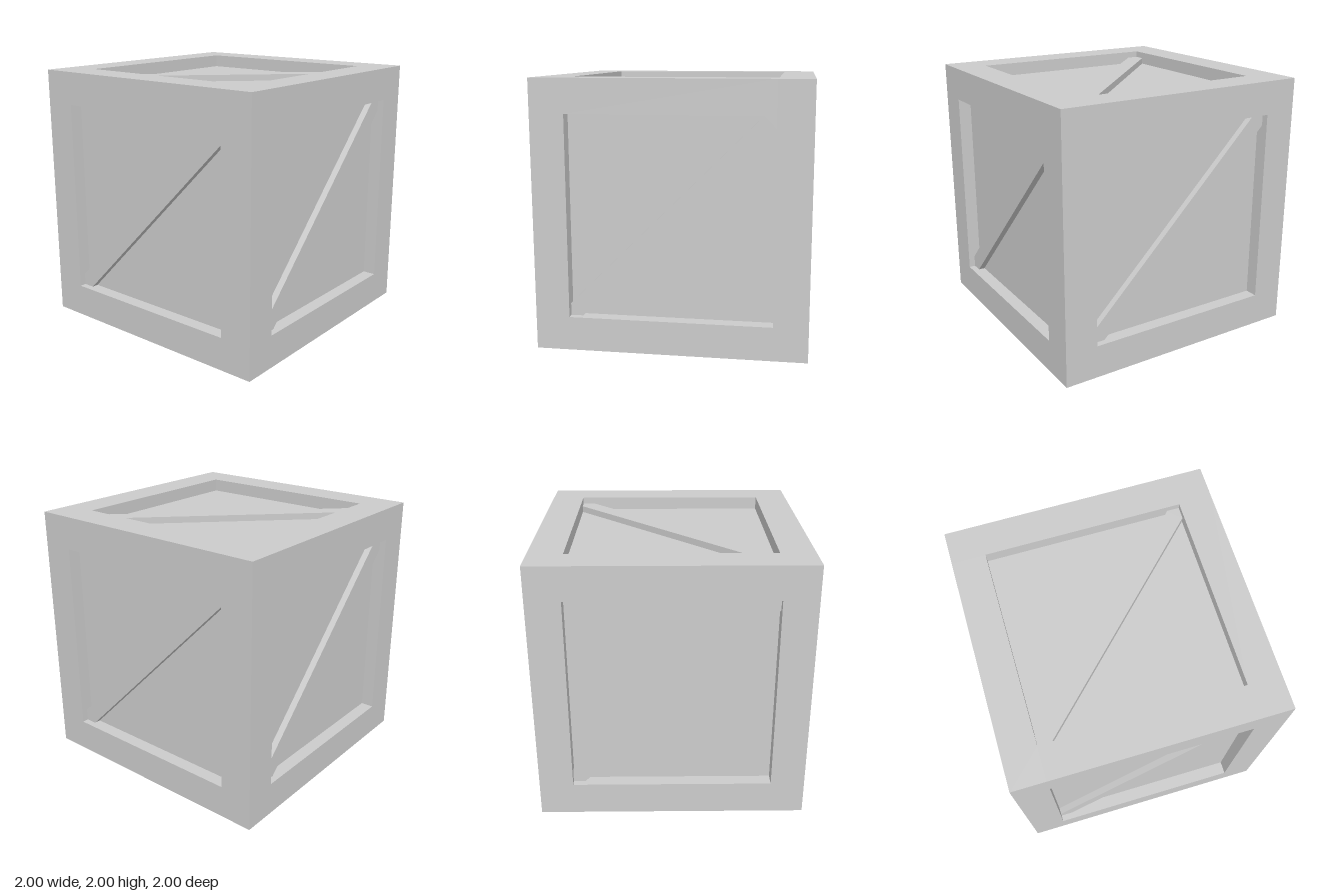
import * as THREE from 'three';

const HALF = 1;        // half the crate's side
const OPEN = 0.747;    // half the side of each opening
const PANEL = 0.9;     // distance of the panels from the centre
const BRACE = 0.95;    // distance of the brace faces from the centre
const CUT = 0.091;     // brace half-width measured along the opening's edge

export function createModel() {
  const model = new THREE.Group();
  const material = new THREE.MeshStandardMaterial({ color: 0xcccccc });
  const add = (name, geometry, parent = model) => {
    const mesh = new THREE.Mesh(geometry, material);
    mesh.name = name;
    parent.add(mesh);
    return mesh;
  };

  // Frame: full-height posts with rails fitted between them
  const beam = HALF - OPEN;
  const mid = (HALF + OPEN) / 2;
  const post = new THREE.BoxGeometry(beam, 2 * HALF, beam);
  const railX = new THREE.BoxGeometry(2 * OPEN, beam, beam);
  const railZ = new THREE.BoxGeometry(beam, beam, 2 * OPEN);
  for (const a of [-mid, mid]) {
    for (const b of [-mid, mid]) {
      add('cornerPost', post).position.set(a, HALF, b);
      add('crossRail', railX).position.set(0, HALF + a, b);
      add('sideRail', railZ).position.set(a, HALF + b, 0);
    }
  }

  // Recessed panels: one inner box shows through all six openings
  add('innerPanels', new THREE.BoxGeometry(2 * PANEL, 2 * PANEL, 2 * PANEL)).position.y = HALF;

  // Diagonal brace, its ends trimmed to the corners of the opening
  const o = OPEN, c = OPEN - CUT;
  const outline = new THREE.Shape(
    [[-o, -o], [-c, -o], [o, c], [o, o], [c, o], [-o, -c]].map(([x, y]) => new THREE.Vector2(x, y))
  );
  const brace = new THREE.ExtrudeGeometry(outline, { depth: BRACE - PANEL, bevelEnabled: false });
  brace.translate(0, 0, PANEL);

  // The front brace turned onto every face
  const q = Math.PI / 2;
  const faces = {
    front: [0, 0], right: [0, q], back: [0, 2 * q], left: [0, -q], top: [-q, 0], bottom: [q, 0],
  };
  for (const [face, [rx, ry]] of Object.entries(faces)) {
    const mesh = add(`${face}Brace`, brace);
    mesh.position.y = HALF;
    mesh.rotation.set(rx, ry, 0);
  }

  return model;
}
